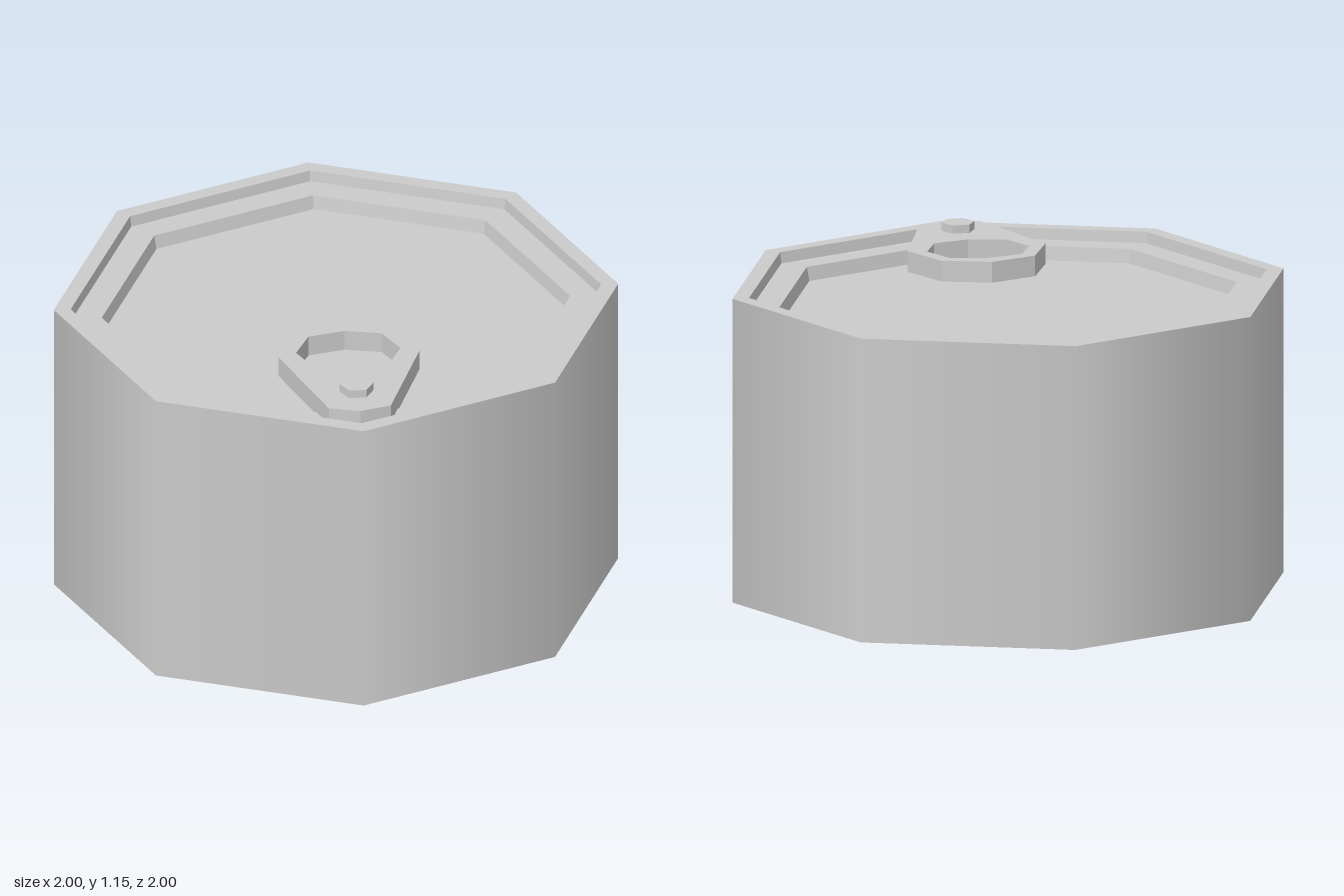
import * as THREE from 'three';

const SIDES = 8;
const smooth = new THREE.MeshStandardMaterial({ color: 0xcccccc });
const flat = new THREE.MeshStandardMaterial({ color: 0xcccccc, flatShading: true });
const toPoints = (list) => list.map(([a, b]) => new THREE.Vector2(a, b));

function addPart(group, name, geometry, material) {
  const mesh = new THREE.Mesh(geometry, material);
  mesh.name = name;
  group.add(mesh);
  return mesh;
}

// Profile of [radius, height] pairs turned around the can's axis
const turned = (profile) => new THREE.LatheGeometry(toPoints(profile), SIDES);

// Closed outline, mirrored in x, from points that start and end on x = 0
function mirrored(half) {
  const other = half.slice(1, -1).reverse().map(([x, z]) => [-x, z]);
  return toPoints([...half, ...other]);
}

export function createModel() {
  const can = new THREE.Group();
  can.name = 'can';

  // Side wall, shaded smoothly around
  addPart(can, 'wall', turned([[1, 0], [1, 1.1]]), smooth);

  // Lid: rim, sunken ledge and lower panel
  addPart(can, 'lid', turned([
    [1, 1.1], [0.94, 1.1], [0.935, 1.06], [0.83, 1.06], [0.82, 1.01], [0, 1.01],
  ]), flat);

  // Base: foot ring, ledge and raised panel
  addPart(can, 'base', turned([
    [0, 0.08], [0.775, 0.08], [0.83, 0.035], [0.935, 0.035], [0.94, 0], [1, 0],
  ]), flat);

  // Pull tab with a finger hole
  const pullTab = new THREE.Group();
  pullTab.name = 'pullTab';
  can.add(pullTab);
  const outline = new THREE.Shape(mirrored([
    [0, 0.235], [0.17, 0.295], [0.25, 0.47], [0.11, 0.865], [0, 0.895],
  ]));
  outline.holes.push(new THREE.Path(mirrored([
    [0, 0.3], [0.13, 0.33], [0.185, 0.445], [0.13, 0.565], [0, 0.595],
  ])));
  const plate = new THREE.ExtrudeGeometry(outline, { depth: 0.075, bevelEnabled: false });
  plate.rotateX(Math.PI / 2).translate(0, 1.125, 0);
  addPart(pullTab, 'tabPlate', plate, flat);

  // Six-sided rivet holding the tab
  const rivet = new THREE.CylinderGeometry(0.06, 0.06, 0.06, 6);
  rivet.rotateY(Math.PI / 2).translate(0, 1.125, 0.745);
  addPart(pullTab, 'rivet', rivet, flat);

  return can;
}
